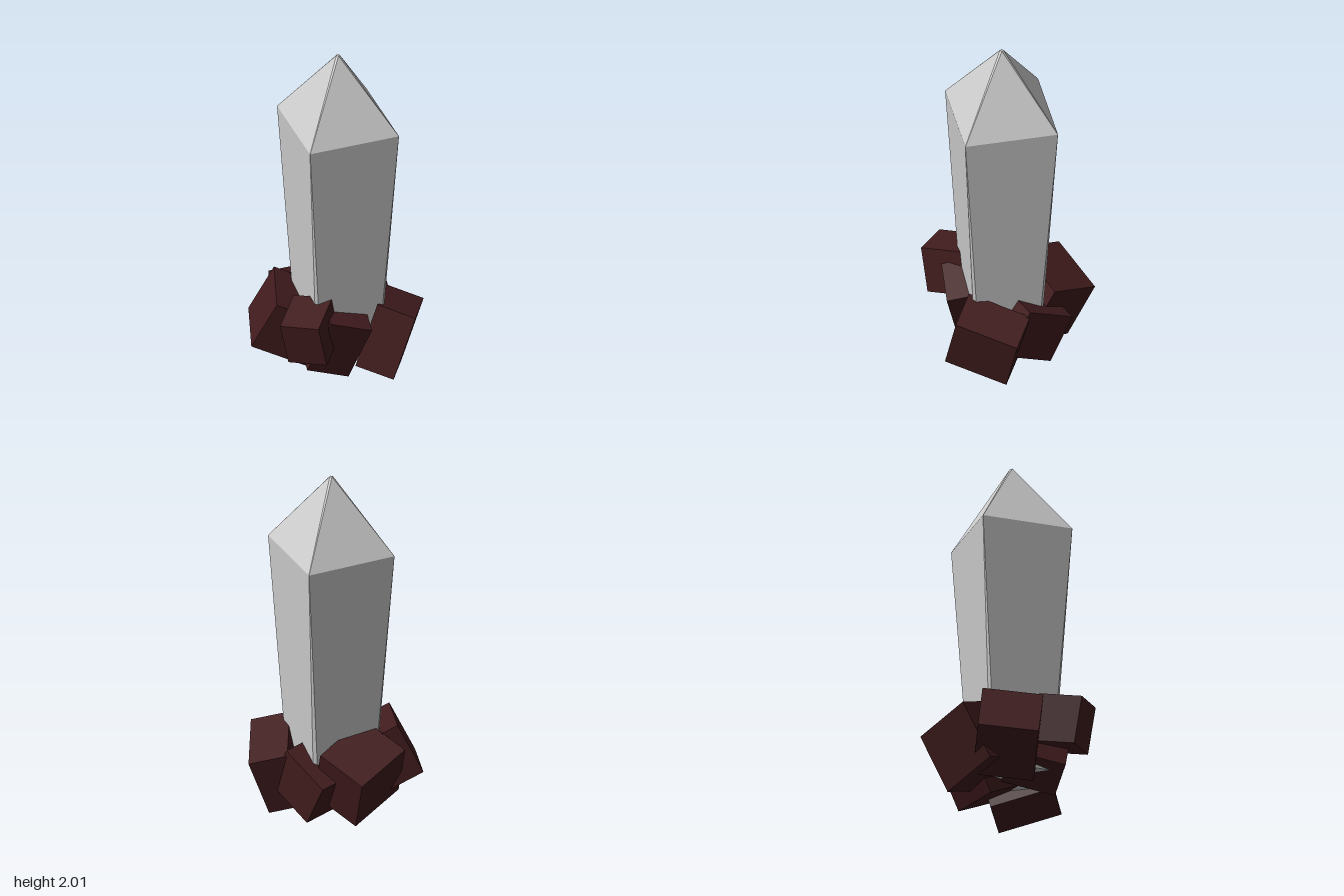
import * as THREE from 'three';

const crystalMat = new THREE.MeshStandardMaterial({ color: 0xcccccc, flatShading: true });
const rockMat = new THREE.MeshStandardMaterial({ color: 0x421c1e, flatShading: true });

// Tapered shaft and pointed tip: eight-sided rings, square with cut corners
function makeCrystal() {
  // [height, half width, corner cut]
  const rings = [[0.15, 0.183, 0.02], [1.575, 0.257, 0.001], [2, 0.01, 0.009]];
  const pos = [], index = [];
  for (const [y, h, c] of rings) {
    const a = h - c;
    for (const [x, z] of [[a, h], [h, a], [h, -a], [a, -h], [-a, -h], [-h, -a], [-h, a], [-a, h]])
      pos.push(x, y, z);
  }
  for (let r = 0; r < rings.length - 1; r++)
    for (let i = 0; i < 8; i++) {
      const a = r * 8 + i, b = r * 8 + (i + 1) % 8;
      index.push(a, b, b + 8, a, b + 8, a + 8);
    }
  const top = (rings.length - 1) * 8;
  for (let i = 1; i < 7; i++) {
    index.push(top, top + i, top + i + 1); // tip cap
    index.push(0, i + 1, i); // bottom cap
  }
  const geo = new THREE.BufferGeometry();
  geo.setAttribute('position', new THREE.Float32BufferAttribute(pos, 3));
  geo.setIndex(index);
  const flat = geo.toNonIndexed();
  flat.computeVertexNormals();
  const mesh = new THREE.Mesh(flat, crystalMat);
  mesh.name = 'crystal';
  mesh.position.set(0.003, 0, 0.06);
  return mesh;
}

// Block spanned by a corner, two edges and a depth along their cross product
function makeRock(name, corner, edgeU, edgeV, depth) {
  const u = new THREE.Vector3(...edgeU), v = new THREE.Vector3(...edgeV);
  const lenU = u.length(), lenV = v.length();
  u.normalize();
  v.addScaledVector(u, -v.dot(u)).normalize();
  const w = u.clone().cross(v);
  const geo = new THREE.BoxGeometry(lenU, lenV, depth);
  geo.translate(lenU / 2, lenV / 2, depth / 2);
  const mesh = new THREE.Mesh(geo, rockMat);
  mesh.name = name;
  mesh.quaternion.setFromRotationMatrix(new THREE.Matrix4().makeBasis(u, v, w));
  mesh.position.set(...corner);
  return mesh;
}

export function createModel() {
  const model = new THREE.Group();
  model.name = 'crystalOnRocks';
  model.add(makeCrystal());

  // Tumbled blocks around the foot
  const rocks = new THREE.Group();
  rocks.name = 'rocks';
  rocks.add(
    makeRock('rockFrontRight', [-0.425, 0.5, 0.31], [0.17, 0.025, 0.14], [0.05, -0.26, -0.03], 0.25),
    makeRock('rockFrontLeft', [0.33, 0.425, 0.385], [0.16, -0.09, -0.305], [-0.13, -0.35, 0.015], 0.22),
    makeRock('rockRight', [-0.49, 0.22, 0.04], [0.1, 0.035, -0.315], [0.12, 0.28, 0.075], 0.35),
    makeRock('rockBack', [0.06, 0.35, -0.445], [-0.32, 0.09, 0.13], [-0.03, -0.32, 0.145], 0.3),
    makeRock('rockFront', [-0.15, 0.48, 0.36], [0.23, -0.08, 0.02], [-0.08, -0.33, -0.08], 0.3),
    makeRock('rockLeft', [0.315, 0.43, -0.03], [-0.095, -0.14, -0.255], [0.03, -0.26, 0.12], 0.28),
  );
  model.add(rocks);
  return model;
}
